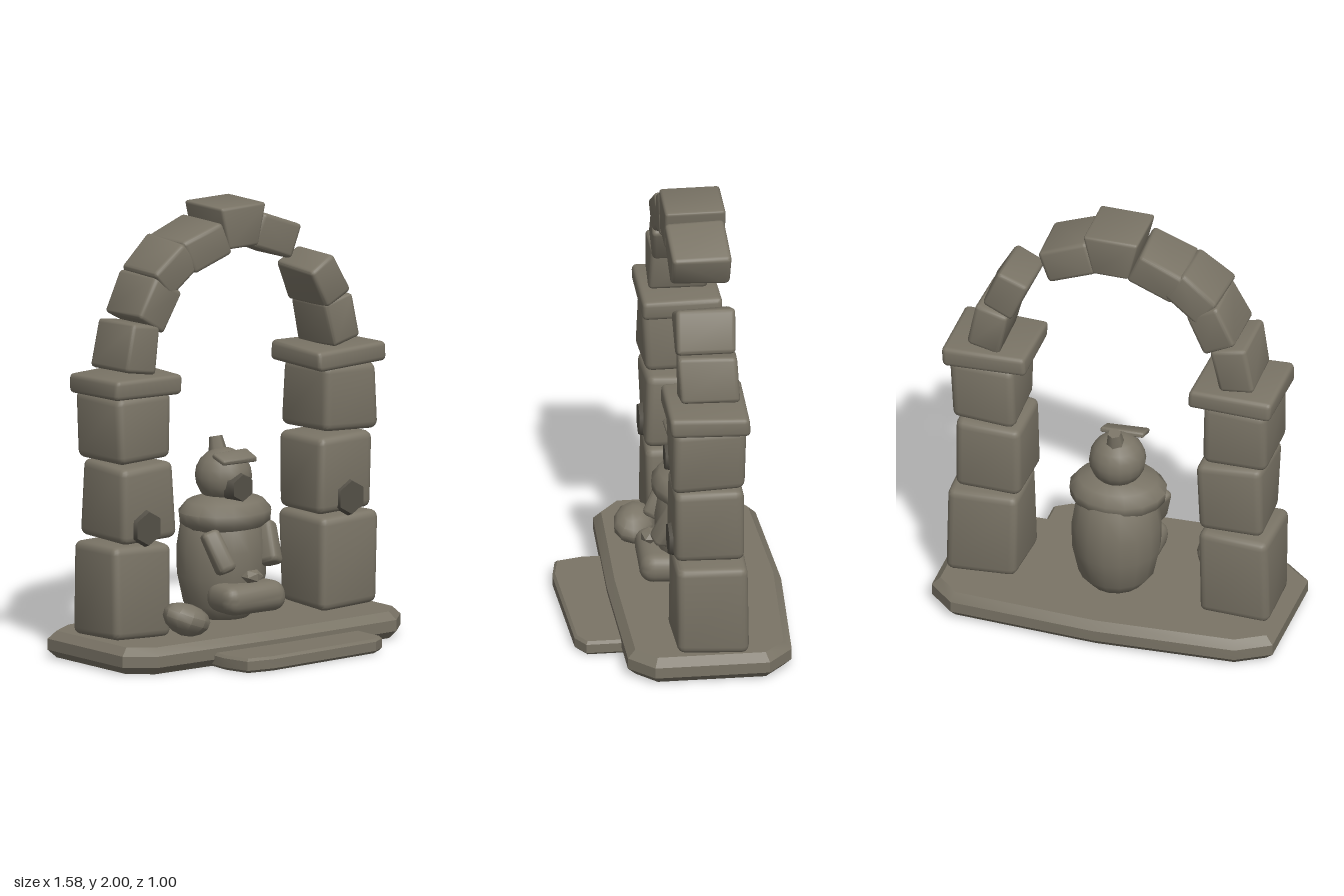
import * as THREE from 'three';
import { toCreasedNormals } from 'three/addons/utils/BufferGeometryUtils.js';
import { RoundedBoxGeometry } from 'three/addons/geometries/RoundedBoxGeometry.js';

export function createModel() {
  const root = new THREE.Group();
  root.name = 'ruinedShrine';
  const stone = new THREE.MeshStandardMaterial({ color: 0x7a7466 });
  stone.name = 'weathered stone';
  const dark = new THREE.MeshStandardMaterial({ color: 0x545047 });
  dark.name = 'dark stone';

  const add = (parent, name, geo, pos = [0, 0, 0], rot = [0, 0, 0], mat = stone) => {
    const m = new THREE.Mesh(geo, mat);
    m.name = name;
    m.position.set(...pos);
    m.rotation.set(...rot);
    parent.add(m);
    return m;
  };
  const group = (name) => {
    const g = new THREE.Group();
    g.name = name;
    root.add(g);
    return g;
  };
  // Move each vertex by a smooth position-based rule so the stones look worn
  const wear = (geo, seed, amount) => {
    const p = geo.attributes.position;
    for (let i = 0; i < p.count; i++) {
      const x = p.getX(i), y = p.getY(i), z = p.getZ(i);
      p.setXYZ(i,
        x + amount * Math.sin(13 * y + 9 * z + seed),
        y + amount * Math.sin(11 * x + 8 * z + seed * 2.1),
        z + amount * Math.sin(12 * x + 10 * y + seed * 3.7));
    }
    return toCreasedNormals(geo, 0.7);
  };
  const block = (w, h, d, seed, r = 0.03) =>
    wear(new RoundedBoxGeometry(w, h, d, 2, r), seed, 0.006);
  // Bevelled slab from a floor plan of [x, z] points, standing on y = 0
  const slab = (plan, height, bevel) => {
    const shape = new THREE.Shape(plan.map(([x, z]) => new THREE.Vector2(x, -z)));
    const geo = new THREE.ExtrudeGeometry(shape, {
      depth: height - 2 * bevel, bevelThickness: bevel, bevelSize: bevel,
      bevelOffset: -bevel, bevelSegments: 1,
    });
    geo.rotateX(-Math.PI / 2).translate(0, bevel, 0);
    return toCreasedNormals(geo, 0.5);
  };
  const lathe = (pts) => new THREE.LatheGeometry(pts.map(([r, y]) => new THREE.Vector2(r, y)), 16);

  // Floor and front step
  add(root, 'floorSlab', slab([
    [-0.79, 0.16], [-0.67, 0.26], [0, 0.275], [0.68, 0.26], [0.79, 0.15],
    [0.79, -0.36], [0.67, -0.47], [0, -0.5], [-0.64, -0.46], [-0.79, -0.37],
  ], 0.12, 0.035));
  add(root, 'frontStep', slab([
    [-0.35, 0.22], [-0.36, 0.34], [-0.33, 0.47], [-0.2, 0.495],
    [0.4, 0.465], [0.47, 0.42], [0.47, 0.22],
  ], 0.065, 0.012));

  // Pillars: [centre x, y, z, width, height, depth]
  const pillars = {
    rightPillar: [
      [-0.575, 0.33, -0.11, 0.32, 0.42, 0.32], [-0.55, 0.728, -0.1, 0.3, 0.345, 0.31],
      [-0.577, 1.068, -0.1, 0.295, 0.3, 0.325], [-0.562, 1.253, -0.1, 0.38, 0.09, 0.355]],
    leftPillar: [
      [0.59, 0.33, -0.11, 0.325, 0.42, 0.32], [0.566, 0.728, -0.1, 0.3, 0.345, 0.31],
      [0.59, 1.068, -0.1, 0.295, 0.3, 0.325], [0.58, 1.253, -0.1, 0.385, 0.09, 0.355]],
  };
  let seed = 1;
  for (const [name, blocks] of Object.entries(pillars)) {
    const g = group(name);
    blocks.forEach(([x, y, z, w, h, d], i) =>
      add(g, i < 3 ? 'pillarBlock' : 'capital', block(w, h, d, seed++, i < 3 ? 0.035 : 0.022), [x, y, z]));
  }

  // Hexagonal studs on the pillar fronts
  for (const x of [-0.568, 0.58]) {
    add(root, 'pillarStud', new THREE.CylinderGeometry(0.075, 0.086, 0.03, 6),
      [x, 0.62, 0.056], [Math.PI / 2, 0, 0], dark);
  }

  // Arch stones: [x, y, tilt, thickness, length]; one is missing from its left side
  const arch = group('brokenArch');
  [
    [-0.56, 1.415, -0.2, 0.165, 0.22], [-0.462, 1.605, -0.5, 0.165, 0.205],
    [-0.365, 1.752, -0.9, 0.155, 0.21], [-0.2, 1.83, -1.2, 0.16, 0.225],
    [0.2, 1.84, -1.92, 0.16, 0.24], [0.492, 1.6, 0.46, 0.15, 0.2],
    [0.57, 1.41, 0.2, 0.155, 0.21],
  ].forEach(([x, y, tilt, w, h]) =>
    add(arch, 'archStone', block(w, h, 0.265, seed++, 0.02), [x, y, -0.105], [0, 0, tilt]));

  // Keystone, wider at the top
  const key = new RoundedBoxGeometry(0.255, 0.19, 0.27, 2, 0.015);
  const kp = key.attributes.position;
  for (let i = 0; i < kp.count; i++) kp.setX(i, kp.getX(i) * (0.82 + 1.9 * kp.getY(i)));
  add(arch, 'keystone', toCreasedNormals(key, 0.7), [0.003, 1.905, -0.105]);

  // Seated statue
  const statue = group('statue');
  const body = lathe([[0, 0.12], [0.12, 0.13], [0.17, 0.19], [0.198, 0.32], [0.2, 0.44],
    [0.18, 0.56], [0.12, 0.64], [0, 0.66]]);
  add(statue, 'body', body, [0.005, 0, -0.135]);
  const cape = lathe([[0, 0.52], [0.17, 0.53], [0.215, 0.565], [0.22, 0.61], [0.18, 0.655],
    [0.1, 0.68], [0, 0.685]]);
  cape.scale(1, 1, 0.86);
  add(statue, 'shoulderCape', toCreasedNormals(cape, 0.9), [0.005, 0, -0.11]);
  const head = new THREE.SphereGeometry(0.125, 16, 10);
  head.scale(1.02, 1, 1.02);
  add(statue, 'head', head, [0.005, 0.763, -0.12]);
  add(statue, 'face', new THREE.CylinderGeometry(0.06, 0.08, 0.05, 6),
    [0.005, 0.725, -0.005], [Math.PI / 2, 0, 0], dark);
  add(statue, 'brow', block(0.2, 0.025, 0.09, 4, 0.01), [0.003, 0.855, -0.035], [0.3, 0, 0]);
  add(statue, 'hairKnot', new THREE.CylinderGeometry(0.03, 0.042, 0.07, 6),
    [0.003, 0.897, -0.165], [-0.25, 0, 0]);
  add(statue, 'lap', wear(new RoundedBoxGeometry(0.34, 0.135, 0.2, 3, 0.06), 2, 0.006), [0.003, 0.242, 0.04]);
  add(statue, 'offering', new THREE.IcosahedronGeometry(0.05, 0).scale(1.05, 0.65, 0.9),
    [0.005, 0.338, 0.085]);
  for (const s of [-1, 1]) {
    add(statue, s < 0 ? 'rightArm' : 'leftArm', block(0.085, 0.2, 0.1, s + 3, 0.025),
      [0.005 + s * 0.142, 0.455, 0.01], [-0.35, s * 0.45, s * -0.2]);
  }

  // Fallen boulder beside the right pillar
  const boulder = new THREE.SphereGeometry(0.1, 10, 7);
  boulder.scale(1.1, 0.72, 0.92);
  add(root, 'boulder', wear(boulder, 5, 0.008), [-0.385, 0.2, 0.115], [0, 0, -0.35]);

  return root;
}
